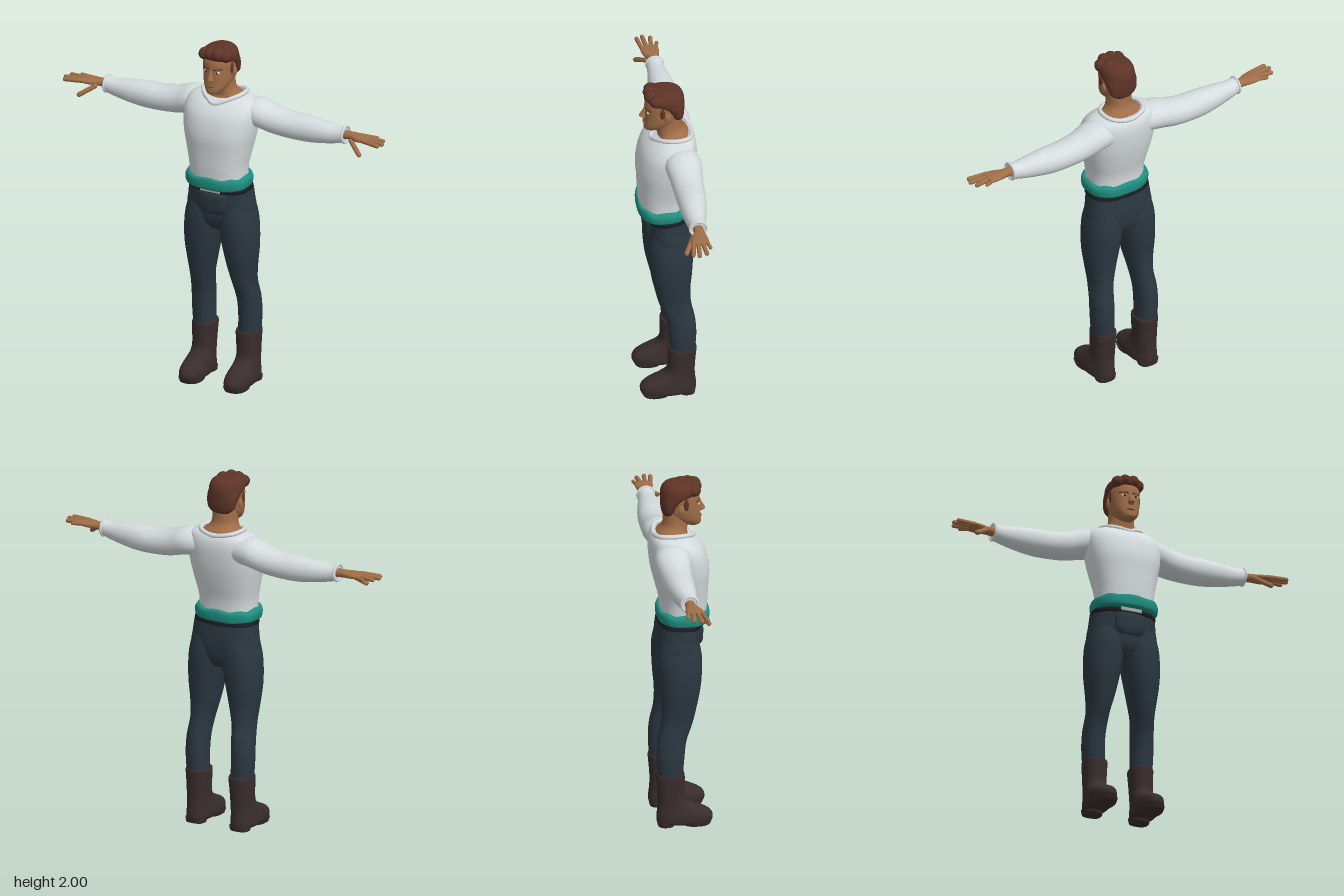
import * as THREE from 'three';

const mat = (name, color) => {
  const m = new THREE.MeshStandardMaterial({ color });
  m.name = name;
  return m;
};

// Smooth loft. Each section is [t, u0, u1, v0, v1]: position along the axis and the bounds across it.
// axis 'y': u = x, v = z.  axis 'x': u = z, v = y.
function loft(sections, { axis = 'y', n = 2.2, seg = 32, sub = 4, wave = 0 } = {}) {
  const rows = [];
  const last = sections.length - 1;
  const at = (i) => sections[Math.min(last, Math.max(0, i))];
  for (let i = 0; i < last; i++) {
    for (let s = 0; s < sub; s++) {
      const f = s / sub;
      rows.push(at(i).map((b, k) => {
        const a = at(i - 1)[k], c = at(i + 1)[k], d = at(i + 2)[k];
        return b + 0.5 * f * (c - a + f * (2 * a - 5 * b + 4 * c - d + f * (3 * (b - c) + d - a)));
      }));
    }
  }
  rows.push(at(last));
  const pos = [], idx = [];
  const put = (t, u, v) => (axis === 'y' ? pos.push(u, t, v) : pos.push(t, v, u));
  const pow = (c) => Math.sign(c) * Math.pow(Math.abs(c), 2 / n);
  const ring = ([t, u0, u1, v0, v1], lift) => {
    for (let j = 0; j < seg; j++) {
      const a = (j / seg) * Math.PI * 2;
      put(t + lift * Math.cos(a * 8),
        (u0 + u1) / 2 + ((u1 - u0) / 2) * pow(Math.cos(a)),
        (v0 + v1) / 2 + ((v1 - v0) / 2) * pow(Math.sin(a)));
    }
  };
  rows.forEach((r, i) => ring(r, (wave * i) / rows.length));
  for (let i = 0; i < rows.length - 1; i++) {
    for (let j = 0; j < seg; j++) {
      const k = (j + 1) % seg, a = i * seg + j, b = i * seg + k;
      idx.push(a, a + seg, b, b, a + seg, b + seg);
    }
  }
  // end caps with their own vertices
  for (const end of [0, 1]) {
    const r = rows[end ? rows.length - 1 : 0];
    const base = pos.length / 3;
    ring(r, end ? wave : 0);
    put(r[0], (r[1] + r[2]) / 2, (r[3] + r[4]) / 2);
    for (let j = 0; j < seg; j++) {
      const a = base + j, b = base + ((j + 1) % seg);
      idx.push(base + seg, end ? b : a, end ? a : b);
    }
  }
  const g = new THREE.BufferGeometry();
  g.setAttribute('position', new THREE.Float32BufferAttribute(pos, 3));
  g.setIndex(idx);
  g.computeVertexNormals();
  return g;
}

// Section centred on x = 0
const sym = (y, hx, z0, z1) => [y, -hx, hx, z0, z1];

// Capsule between two points
function capsule(a, b, r) {
  const p = new THREE.Vector3(...a), q = new THREE.Vector3(...b);
  const d = q.clone().sub(p);
  const g = new THREE.CapsuleGeometry(r, d.length(), 5, 12);
  g.applyQuaternion(new THREE.Quaternion().setFromUnitVectors(new THREE.Vector3(0, 1, 0), d.normalize()));
  const c = p.add(q).multiplyScalar(0.5);
  return g.translate(c.x, c.y, c.z);
}

const ball = (x, y, z, rx, ry, rz) => new THREE.SphereGeometry(1, 20, 14).scale(rx, ry, rz).translate(x, y, z);

function mirrorX(geo) {
  const g = geo.clone().scale(-1, 1, 1);
  const ix = g.index.array;
  for (let i = 0; i < ix.length; i += 3) [ix[i], ix[i + 1]] = [ix[i + 1], ix[i]];
  g.computeVertexNormals();
  return g;
}

export function createModel() {
  const shirt = mat('white shirt', 0xd6dcde);
  const teal = mat('teal sash', 0x1f8f80);
  const cloth = mat('dark blue trousers', 0x2b3741);
  const leather = mat('brown boots', 0x3a2d2d);
  const black = mat('black belt', 0x1b1d20);
  const skin = mat('skin', 0xa06e48);
  const lip = mat('lips', 0x83503a);
  const brown = mat('brown hair', 0x5e3426);
  const metal = mat('grey buckle', 0xa9adae);
  const eyeWhite = mat('eye white', 0xd8d8d4);

  const root = new THREE.Group();
  root.name = 'figure';
  const add = (name, geo, m) => {
    const mesh = new THREE.Mesh(geo, m);
    mesh.name = name;
    root.add(mesh);
  };
  const pair = (name, geo, m) => {
    add(name + 'Left', geo, m);
    add(name + 'Right', mirrorX(geo), m);
  };

  // Torso and collar
  add('torso', loft([
    sym(1.19, 0.16, -0.105, 0.145), sym(1.3, 0.165, -0.11, 0.155), sym(1.4, 0.185, -0.135, 0.16),
    sym(1.5, 0.205, -0.157, 0.164), sym(1.6, 0.215, -0.166, 0.14), sym(1.655, 0.205, -0.16, 0.1),
    sym(1.685, 0.18, -0.145, 0.06), sym(1.7, 0.125, -0.125, 0.035),
  ], { n: 2.4, seg: 40 }), shirt);
  const collar = [[0, 1.668, 0.082], [0.05, 1.685, 0.062], [0.105, 1.705, 0.01], [0.12, 1.71, -0.05],
    [0.095, 1.705, -0.115], [0, 1.69, -0.14], [-0.095, 1.705, -0.115], [-0.12, 1.71, -0.05],
    [-0.105, 1.705, 0.01], [-0.05, 1.685, 0.062]].map((p) => new THREE.Vector3(...p));
  add('collar', new THREE.TubeGeometry(new THREE.CatmullRomCurve3(collar, true), 60, 0.013, 8, true), shirt);

  // Sleeves with puffed forearm and cuff
  pair('sleeve', loft([
    [0.08, -0.14, 0.02, 1.54, 1.67], [0.2, -0.165, 0.035, 1.53, 1.69], [0.3, -0.158, 0.022, 1.507, 1.662],
    [0.4, -0.152, 0.015, 1.498, 1.645], [0.5, -0.146, 0.01, 1.497, 1.644], [0.6, -0.13, 0.002, 1.508, 1.636],
    [0.69, -0.112, -0.01, 1.525, 1.626], [0.745, -0.105, -0.015, 1.54, 1.63],
  ], { axis: 'x', n: 2.1 }), shirt);
  pair('cuff', new THREE.TorusGeometry(0.046, 0.007, 8, 24).rotateY(Math.PI / 2).translate(0.745, 1.585, -0.06), shirt);

  // Hands
  pair('palm', loft([
    [0.72, -0.088, -0.03, 1.558, 1.61], [0.78, -0.088, -0.03, 1.565, 1.608], [0.83, -0.098, -0.008, 1.568, 1.606],
    [0.875, -0.102, 0, 1.573, 1.604], [0.895, -0.096, -0.006, 1.58, 1.6],
  ], { axis: 'x', seg: 20 }), skin);
  [[0.975, 0.003, -0.014], [0.987, -0.03, -0.04], [0.972, -0.072, -0.062], [0.925, -0.1, -0.088]]
    .forEach(([tip, zt, zb], i) =>
      pair('finger' + (i + 1), capsule([0.87, 1.59, zb], [tip, 1.586, zt], i === 3 ? 0.01 : 0.0125), skin));
  pair('thumb', capsule([0.8, 1.572, -0.022], [0.875, 1.522, 0.025], 0.0135), skin);

  // Sash and belt
  add('sash', loft([
    sym(1.18, 0.165, -0.11, 0.15), sym(1.19, 0.182, -0.122, 0.162), sym(1.225, 0.187, -0.125, 0.165),
    sym(1.245, 0.178, -0.12, 0.16), sym(1.25, 0.16, -0.105, 0.145),
  ], { n: 2.5, seg: 64, wave: 0.005 }), teal);
  add('belt', loft([
    sym(1.155, 0.18, -0.12, 0.122), sym(1.17, 0.184, -0.122, 0.126), sym(1.19, 0.178, -0.118, 0.122),
  ], { n: 2.5 }), black);
  add('buckle', new THREE.BoxGeometry(0.12, 0.03, 0.03).translate(0, 1.177, 0.118), metal);

  // Trousers
  add('hips', loft([
    sym(0.92, 0.07, -0.1, 0.07), sym(0.97, 0.16, -0.122, 0.1), sym(1.03, 0.198, -0.13, 0.108),
    sym(1.1, 0.19, -0.13, 0.113), sym(1.165, 0.183, -0.122, 0.115),
  ], { n: 2.5 }), cloth);
  add('trouserFront', loft([
    sym(1.03, 0.06, 0.06, 0.118), sym(1.06, 0.085, 0.06, 0.129), sym(1.13, 0.09, 0.06, 0.131), sym(1.155, 0.08, 0.06, 0.122),
  ], { n: 3 }), cloth);
  pair('trouserLeg', loft([
    [1.1, 0.01, 0.18, -0.115, 0.09], [1, 0, 0.206, -0.133, 0.11], [0.9, 0.006, 0.215, -0.132, 0.11],
    [0.8, 0.025, 0.213, -0.125, 0.1], [0.7, 0.046, 0.202, -0.116, 0.08], [0.6, 0.07, 0.193, -0.12, 0.055],
    [0.5, 0.08, 0.202, -0.14, 0.02], [0.4, 0.084, 0.205, -0.146, 0.008], [0.29, 0.08, 0.2, -0.14, 0],
  ].reverse()), cloth);

  // Boots
  pair('boot', loft([
    [0.015, 0.075, 0.205, -0.138, 0.155], [0.03, 0.068, 0.212, -0.145, 0.165], [0.06, 0.068, 0.212, -0.145, 0.162],
    [0.085, 0.072, 0.208, -0.142, 0.135], [0.108, 0.075, 0.204, -0.14, 0.085], [0.135, 0.077, 0.2, -0.138, 0.035],
    [0.17, 0.077, 0.2, -0.138, 0.012], [0.23, 0.074, 0.201, -0.142, 0.01], [0.3, 0.07, 0.203, -0.148, 0.01],
    [0.308, 0.08, 0.197, -0.138, 0],
  ], { n: 2.4 }), leather);
  pair('sole', loft([[0, 0.078, 0.202, 0, 0.15], [0.02, 0.072, 0.208, -0.01, 0.16]], { n: 2.4 }), leather);
  pair('heel', loft([[0, 0.085, 0.195, -0.138, -0.05], [0.025, 0.08, 0.2, -0.142, -0.04]], { n: 2.6 }), leather);

  // Neck and head
  add('neck', loft([
    sym(1.67, 0.1, -0.125, 0.06), sym(1.7, 0.112, -0.125, 0.045), sym(1.718, 0.088, -0.11, 0.045),
    sym(1.75, 0.071, -0.09, 0.05), sym(1.82, 0.068, -0.085, 0.05),
  ]), skin);
  add('head', loft([
    sym(1.733, 0.025, 0.06, 0.108), sym(1.745, 0.043, 0.02, 0.122), sym(1.775, 0.066, -0.03, 0.122),
    sym(1.815, 0.079, -0.07, 0.118), sym(1.87, 0.085, -0.085, 0.115), sym(1.92, 0.085, -0.09, 0.113),
    sym(1.96, 0.07, -0.075, 0.09), sym(1.975, 0.03, -0.03, 0.05),
  ]), skin);
  add('nose', loft([
    sym(1.812, 0.012, 0.1, 0.128), sym(1.822, 0.018, 0.1, 0.146), sym(1.835, 0.014, 0.1, 0.144),
    sym(1.865, 0.009, 0.1, 0.126), sym(1.885, 0.008, 0.1, 0.117),
  ], { seg: 16 }), skin);
  add('mouth', ball(0, 1.783, 0.12, 0.024, 0.006, 0.008), lip);
  pair('ear', ball(0.086, 1.85, 0.002, 0.01, 0.028, 0.018), skin);
  pair('eye', ball(0.034, 1.866, 0.104, 0.016, 0.008, 0.008), eyeWhite);
  pair('iris', ball(0.034, 1.866, 0.11, 0.006, 0.006, 0.004), black);
  pair('eyebrow', capsule([0.015, 1.883, 0.114], [0.056, 1.887, 0.093], 0.0045), brown);

  // Hair: swept cap with front locks
  add('hair', loft([
    sym(1.805, 0.05, -0.09, -0.04), sym(1.83, 0.08, -0.097, -0.025), sym(1.87, 0.09, -0.101, 0),
    sym(1.905, 0.094, -0.102, 0.045), sym(1.925, 0.095, -0.102, 0.098), sym(1.95, 0.094, -0.098, 0.118),
    sym(1.975, 0.082, -0.085, 0.11), sym(1.99, 0.055, -0.06, 0.085), sym(1.995, 0.02, -0.01, 0.04),
  ]), brown);
  [[-0.06, 1.955, 0.075, 0.034], [-0.02, 1.965, 0.085, 0.034], [0.025, 1.965, 0.085, 0.035], [0.062, 1.955, 0.06, 0.036],
    [0.04, 1.968, 0.02, 0.032], [-0.04, 1.965, 0, 0.03], [0.03, 1.96, -0.045, 0.03]]
    .forEach(([x, y, z, r], i) => add('hairLock' + (i + 1), ball(x, y, z, r, r, r * 1.15), brown));
  pair('sideburn', ball(0.084, 1.88, 0.03, 0.007, 0.035, 0.014), brown);

  return root;
}
